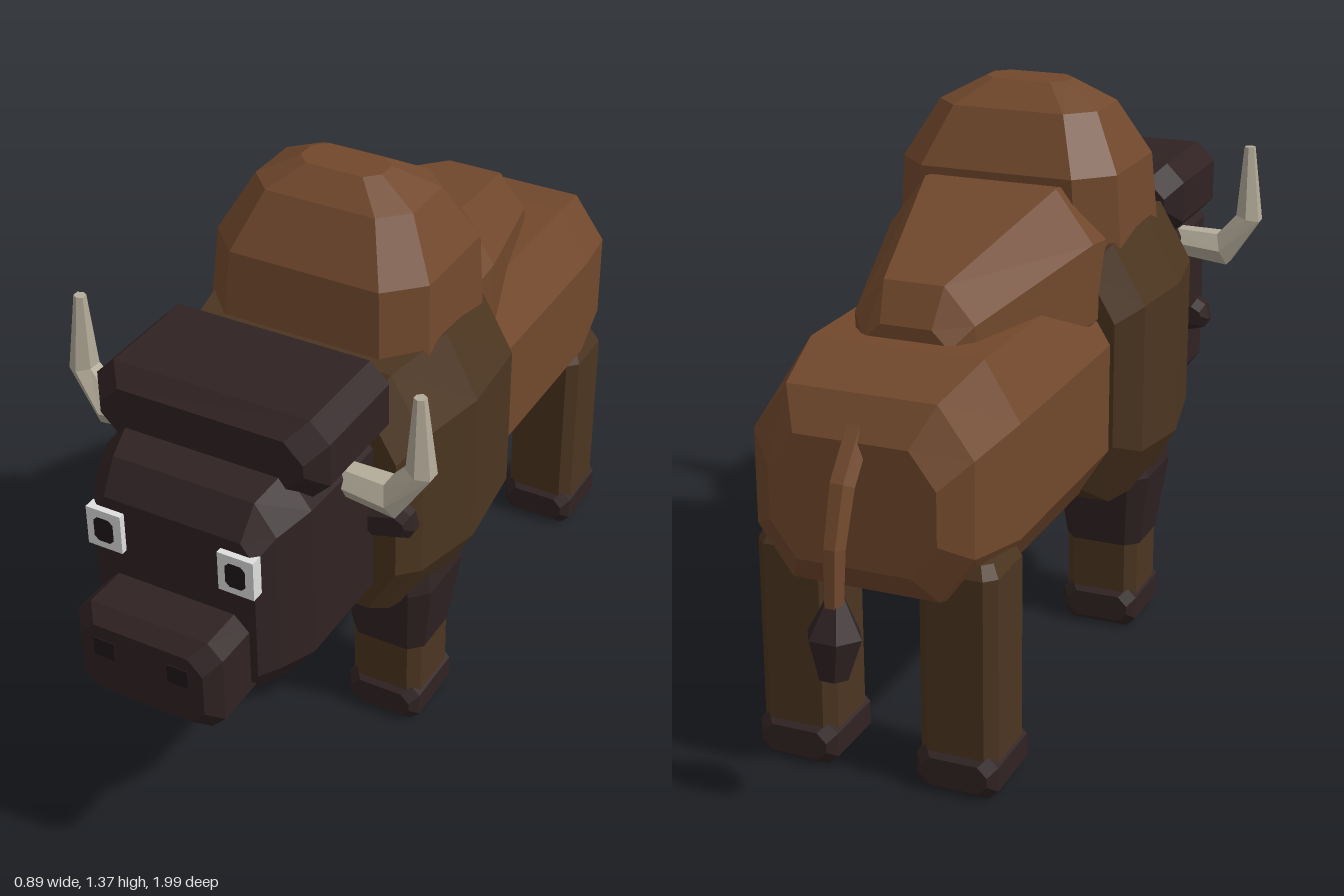
import * as THREE from 'three';

const mat = (name, color, extra = {}) => {
  const m = new THREE.MeshStandardMaterial({ color, flatShading: true, ...extra });
  m.name = name;
  return m;
};

// Skin a list of closed rings (counter-clockwise seen from the far end) and cap both ends.
function skin(rings) {
  const pos = [];
  const tri = (a, b, c) => pos.push(...a, ...b, ...c);
  const n = rings[0].length;
  for (let i = 0; i < rings.length - 1; i++) {
    for (let j = 0; j < n; j++) {
      const k = (j + 1) % n;
      const [a, b, c, d] = [rings[i][j], rings[i][k], rings[i + 1][k], rings[i + 1][j]];
      tri(a, b, c);
      tri(a, c, d);
    }
  }
  const last = rings[rings.length - 1];
  for (let j = 1; j < n - 1; j++) {
    tri(rings[0][0], rings[0][j + 1], rings[0][j]);
    tri(last[0], last[j], last[j + 1]);
  }
  const g = new THREE.BufferGeometry();
  g.setAttribute('position', new THREE.Float32BufferAttribute(pos, 3));
  g.computeVertexNormals();
  return g;
}

// Rectangle with cut corners, counter-clockwise.
function octagon(u0, u1, v0, v1, cu, cv) {
  return [[u1, v0 + cv], [u1, v1 - cv], [u1 - cu, v1], [u0 + cu, v1],
    [u0, v1 - cv], [u0, v0 + cv], [u0 + cu, v0], [u1 - cu, v0]];
}

// Rows along z: [z, halfWidth, yMin, yMax, cutX, cutY]
const loftZ = rows => skin(rows.map(([z, w, y0, y1, cx, cy]) =>
  octagon(-w, w, y0, y1, cx, cy).map(([x, y]) => [x, y, z])));

// Rows along y: [y, halfWidth, zMin, zMax, cutX, cutZ]
const loftY = rows => skin(rows.map(([y, w, z0, z1, cx, cz]) =>
  octagon(z0, z1, -w, w, cz, cx).map(([z, x]) => [x, y, z])));

// Box with bevelled edges, centred on its origin.
function bevelBox(w, h, d, c) {
  const row = (z, inset) => [z, w / 2 - inset, -h / 2 + inset, h / 2 - inset, c, c];
  return loftZ([row(-d / 2, c * 0.8), row(-d / 2 + c, 0), row(d / 2 - c, 0), row(d / 2, c * 0.8)]);
}

// Tapered tube bending in the plane square to the given side vector.
function horn(points, radii, side, sides = 6) {
  const p = points.map(q => new THREE.Vector3(...q));
  return skin(p.map((c, i) => {
    const t = p[Math.min(i + 1, p.length - 1)].clone().sub(p[Math.max(i - 1, 0)]).normalize();
    const u = side.clone().cross(t).normalize();
    const v = t.clone().cross(u);
    return Array.from({ length: sides }, (_, j) => {
      const a = (j + 0.5) / sides * Math.PI * 2;
      return c.clone().addScaledVector(u, Math.cos(a) * radii[i])
        .addScaledVector(v, Math.sin(a) * radii[i]).toArray();
    });
  }));
}

export function createModel() {
  const model = new THREE.Group();
  model.name = 'bison';
  const fur = mat('brown fur', 0x71482c);
  const mane = mat('dark brown fur', 0x4b3520);
  const dark = mat('blackish brown', 0x302223);
  const hornMat = mat('horn', 0xb3ab99);
  const white = mat('eye white', 0xdedede);
  const pupil = mat('pupil', 0x1f1718);

  const add = (name, geometry, material, x = 0, y = 0, z = 0, parent = model) => {
    const m = new THREE.Mesh(geometry, material);
    m.name = name;
    m.position.set(x, y, z);
    parent.add(m);
    return m;
  };

  // Trunk
  add('hindquarters', loftZ([
    [-0.845, 0.19, 0.53, 0.81, 0.06, 0.08],
    [-0.79, 0.25, 0.46, 0.895, 0.08, 0.11],
    [-0.62, 0.28, 0.42, 0.94, 0.08, 0.13],
    [0, 0.28, 0.42, 0.94, 0.08, 0.13],
  ]), fur);
  add('slopingBack', loftZ([
    [-0.575, 0.10, 0.75, 0.97, 0.04, 0.04],
    [-0.53, 0.14, 0.75, 1.055, 0.07, 0.08],
    [-0.12, 0.25, 0.75, 1.175, 0.09, 0.12],
    [0.02, 0.25, 0.75, 1.16, 0.09, 0.12],
  ]), fur);
  add('hump', loftY([
    [0.95, 0.28, -0.09, 0.34, 0.08, 0.08],
    [1.19, 0.265, -0.09, 0.315, 0.08, 0.08],
    [1.32, 0.195, -0.015, 0.24, 0.06, 0.06],
    [1.372, 0.10, 0.07, 0.175, 0.03, 0.03],
  ]), fur);
  add('chestMane', loftZ([
    [-0.08, 0.29, 0.44, 0.98, 0.07, 0.12],
    [-0.03, 0.345, 0.40, 1.035, 0.08, 0.14],
    [0.18, 0.36, 0.37, 1.045, 0.08, 0.15],
    [0.37, 0.325, 0.395, 1.035, 0.08, 0.14],
    [0.43, 0.29, 0.43, 0.97, 0.07, 0.12],
  ]), mane);

  // Head
  add('head', loftZ([
    [0.41, 0.20, 0.50, 0.93, 0.05, 0.06],
    [0.46, 0.25, 0.455, 0.98, 0.06, 0.08],
    [0.72, 0.25, 0.455, 0.99, 0.06, 0.08],
    [0.81, 0.22, 0.475, 0.96, 0.05, 0.07],
    [0.86, 0.195, 0.51, 0.89, 0.03, 0.04],
  ]), dark);
  add('hairCap', bevelBox(0.56, 0.19, 0.34, 0.045), dark, 0, 1.017, 0.57);
  add('muzzle', bevelBox(0.355, 0.225, 0.19, 0.035), dark, 0, 0.585, 0.903);
  add('beard', loftY([
    [0.31, 0.03, 0.64, 0.675, 0.01, 0.01],
    [0.34, 0.05, 0.625, 0.69, 0.015, 0.015],
    [0.48, 0.085, 0.59, 0.735, 0.02, 0.02],
  ]), dark);

  // Paired face parts; the profile lies in the x-y plane
  for (const s of [1, -1]) {
    const side = s > 0 ? 'left' : 'right';
    add(side + 'Horn', horn(
      [[0.20, 0.89, 0.56], [0.355, 0.88, 0.56], [0.417, 0.965, 0.56], [0.412, 1.145, 0.56]]
        .map(([x, y, z]) => [s * x, y, z]),
      [0.036, 0.047, 0.034, 0.014], new THREE.Vector3(0, 0, 1)), hornMat);
    const ear = add(side + 'Ear', bevelBox(0.13, 0.075, 0.06, 0.018), dark, s * 0.288, 0.725, 0.455);
    ear.rotation.z = s * 0.27;
    add(side + 'EyeWhite', new THREE.BoxGeometry(0.085, 0.095, 0.03), white, s * 0.16, 0.815, 0.86);
    add(side + 'Pupil', new THREE.ShapeGeometry(new THREE.Shape(
      octagon(-0.024, 0.024, -0.03, 0.03, 0.01, 0.01).map(q => new THREE.Vector2(...q)))),
    pupil, s * 0.16, 0.815, 0.877);
    add(side + 'Nostril', new THREE.BoxGeometry(0.05, 0.045, 0.008), pupil, s * 0.09, 0.615, 0.997);
  }

  // Legs
  for (const s of [1, -1]) {
    for (const [end, z, top] of [['front', 0.21, 0.42], ['hind', -0.675, 0.54]]) {
      const leg = new THREE.Group();
      leg.name = end + (s > 0 ? 'Left' : 'Right') + 'Leg';
      leg.position.set(s * 0.19, 0, z);
      model.add(leg);
      add('shank', loftY([
        [0.05, 0.09, -0.09, 0.09, 0.025, 0.025],
        [top - 0.03, 0.09, -0.09, 0.09, 0.025, 0.025],
        [top, 0.075, -0.075, 0.075, 0.02, 0.02],
      ]), mane, 0, 0, 0, leg);
      add('hoof', bevelBox(0.19, 0.1, 0.205, 0.022), dark, 0, 0.05, 0, leg);
      if (end === 'front') {
        add('legHair', loftY([
          [0.22, 0.095, -0.09, 0.09, 0.03, 0.03],
          [0.405, 0.12, -0.12, 0.12, 0.04, 0.04],
          [0.45, 0.11, -0.11, 0.11, 0.035, 0.035],
        ]), dark, 0, 0, 0, leg);
      }
    }
  }

  // Tail
  add('tail', horn(
    [[0, 0.83, -0.80], [0, 0.73, -0.885], [0, 0.61, -0.925], [0, 0.46, -0.935]],
    [0.03, 0.03, 0.026, 0.022], new THREE.Vector3(1, 0, 0)), fur);
  add('tailTuft', horn(
    [[0, 0.51, -0.925], [0, 0.42, -0.935], [0, 0.33, -0.945]],
    [0.016, 0.062, 0.034], new THREE.Vector3(1, 0, 0)), dark);

  return model;
}
